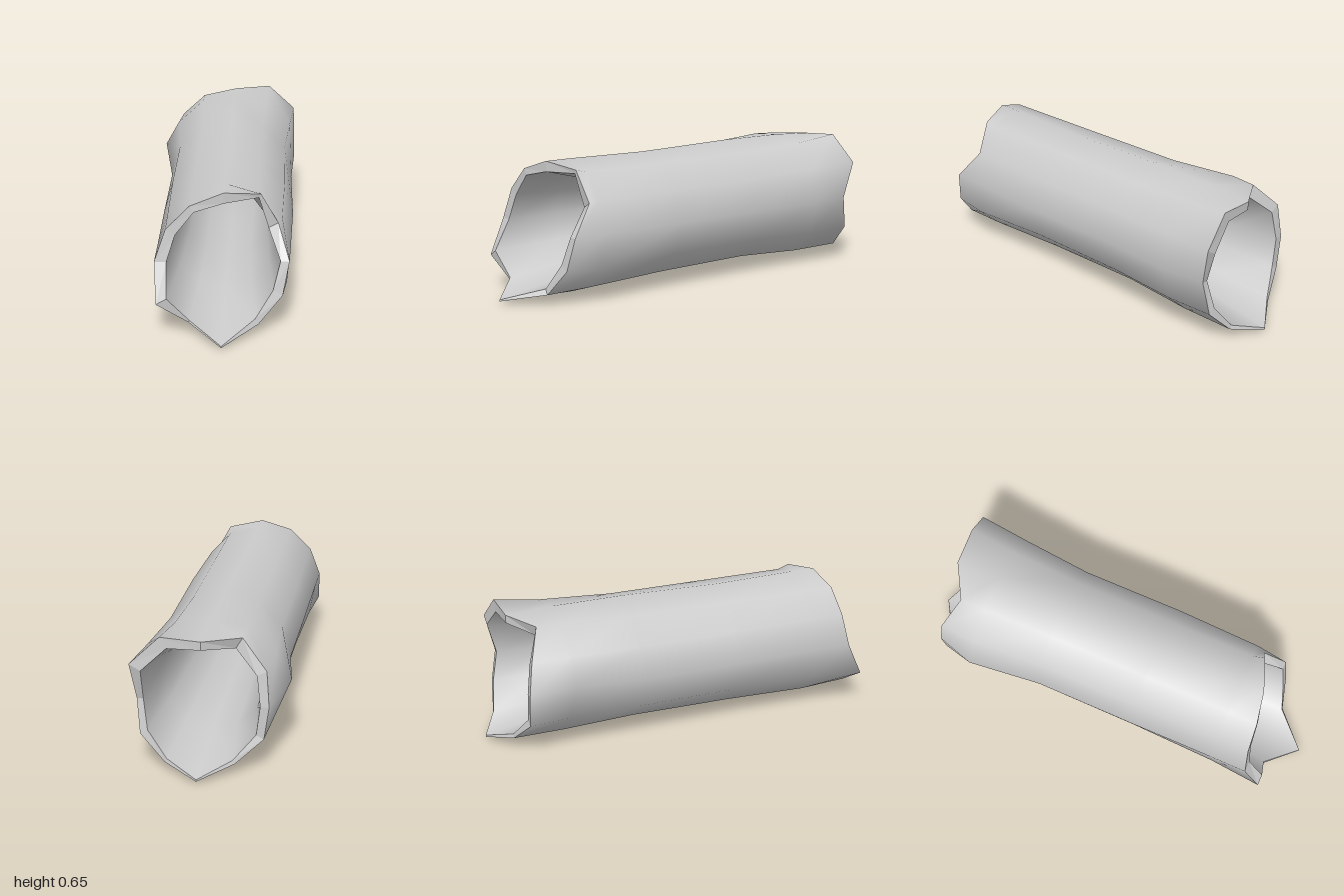
import * as THREE from 'three';

const SIDES = 12, CX = 0.023, CY = 0.333;

// Rim depth and radii, clockwise from the top in 30 degree steps
const frontZ = [0.74, 0.68, 0.66, 0.77, 0.8, 0.84, 1, 0.86, 0.88, 0.8, 0.78, 0.77];
const backZ = [-0.87, -0.88, -0.9, -0.86, -0.89, -0.92, -1, -0.9, -0.85, -0.85, -0.83, -0.77];
const frontR = [0.31, 0.329, 0.28, 0.295, 0.308, 0.321, 0.318, 0.306, 0.342, 0.308, 0.297, 0.298];
const backR = [0.3, 0.362, 0.366, 0.295, 0.32, 0.32, 0.318, 0.31, 0.32, 0.3, 0.33, 0.335];
const frontWall = [0.05, 0.02, 0.05, 0.04, 0.05, 0.03, 0.008, 0.01, 0.055, 0.055, 0.05, 0.035];
const backWall = [0.04, 0.06, 0.06, 0.03, 0.04, 0.02, 0.01, 0.02, 0.04, 0.04, 0.05, 0.06];

// One cross-section; z and r may be a number or one value per side
function ring(z, r) {
  return Array.from({ length: SIDES }, (_, i) => {
    const a = (i / SIDES) * Math.PI * 2;
    const rad = Array.isArray(r) ? r[i] : r;
    return [CX + Math.sin(a) * rad, CY + Math.cos(a) * rad, Array.isArray(z) ? z[i] : z];
  });
}

// Closed sleeve joining the rings in order (front to back faces outwards)
function sleeve(name, rings, material) {
  const index = [];
  for (let k = 0; k < rings.length - 1; k++) {
    for (let i = 0; i < SIDES; i++) {
      const j = (i + 1) % SIDES;
      const a = k * SIDES + i, b = k * SIDES + j;
      index.push(a, a + SIDES, b, b, a + SIDES, b + SIDES);
    }
  }
  const geometry = new THREE.BufferGeometry();
  geometry.setAttribute('position', new THREE.Float32BufferAttribute(rings.flat(2), 3));
  geometry.setIndex(index);
  geometry.computeVertexNormals();
  const mesh = new THREE.Mesh(geometry, material);
  mesh.name = name;
  return mesh;
}

export function createModel() {
  const group = new THREE.Group();
  group.name = 'hollowLog';
  const smooth = new THREE.MeshStandardMaterial({ color: 0xcccccc, side: THREE.DoubleSide });
  const faceted = smooth.clone();
  faceted.flatShading = true;

  // Bark: knobbly near the back, slightly waisted in the middle
  const outer = [
    ring(frontZ, frontR),
    ring(0.62, [0.31, 0.31, 0.3, 0.3, 0.33, 0.32, 0.331, 0.317, 0.32, 0.308, 0.3, 0.3]),
    ring(0.2, [0.303, 0.31, 0.312, 0.312, 0.31, 0.305, 0.298, 0.305, 0.31, 0.312, 0.31, 0.305]),
    ring(-0.3, [0.314, 0.31, 0.31, 0.305, 0.31, 0.3, 0.288, 0.3, 0.31, 0.313, 0.312, 0.312]),
    ring(-0.65, [0.312, 0.33, 0.34, 0.322, 0.327, 0.32, 0.318, 0.31, 0.31, 0.37, 0.348, 0.341]),
    ring(backZ, backR),
  ];
  // Raise the knot on the left of the back bulge
  outer[4][9][1] += 0.05;

  // Hollow: narrows towards the middle
  const inner = [
    ring(backZ, backR.map((r, i) => r - backWall[i])),
    ring(-0.62, 0.24),
    ring(-0.25, 0.22),
    ring(0.2, 0.218),
    ring(0.55, [0.245, 0.25, 0.23, 0.235, 0.24, 0.24, 0.235, 0.24, 0.24, 0.24, 0.235, 0.235]),
    ring(frontZ, frontR.map((r, i) => r - frontWall[i])),
  ];

  group.add(
    sleeve('bark', outer, smooth),
    sleeve('hollow', inner, smooth),
    sleeve('frontRim', [inner[5], outer[0]], faceted),
    sleeve('backRim', [outer[5], inner[0]], faceted),
  );
  return group;
}
